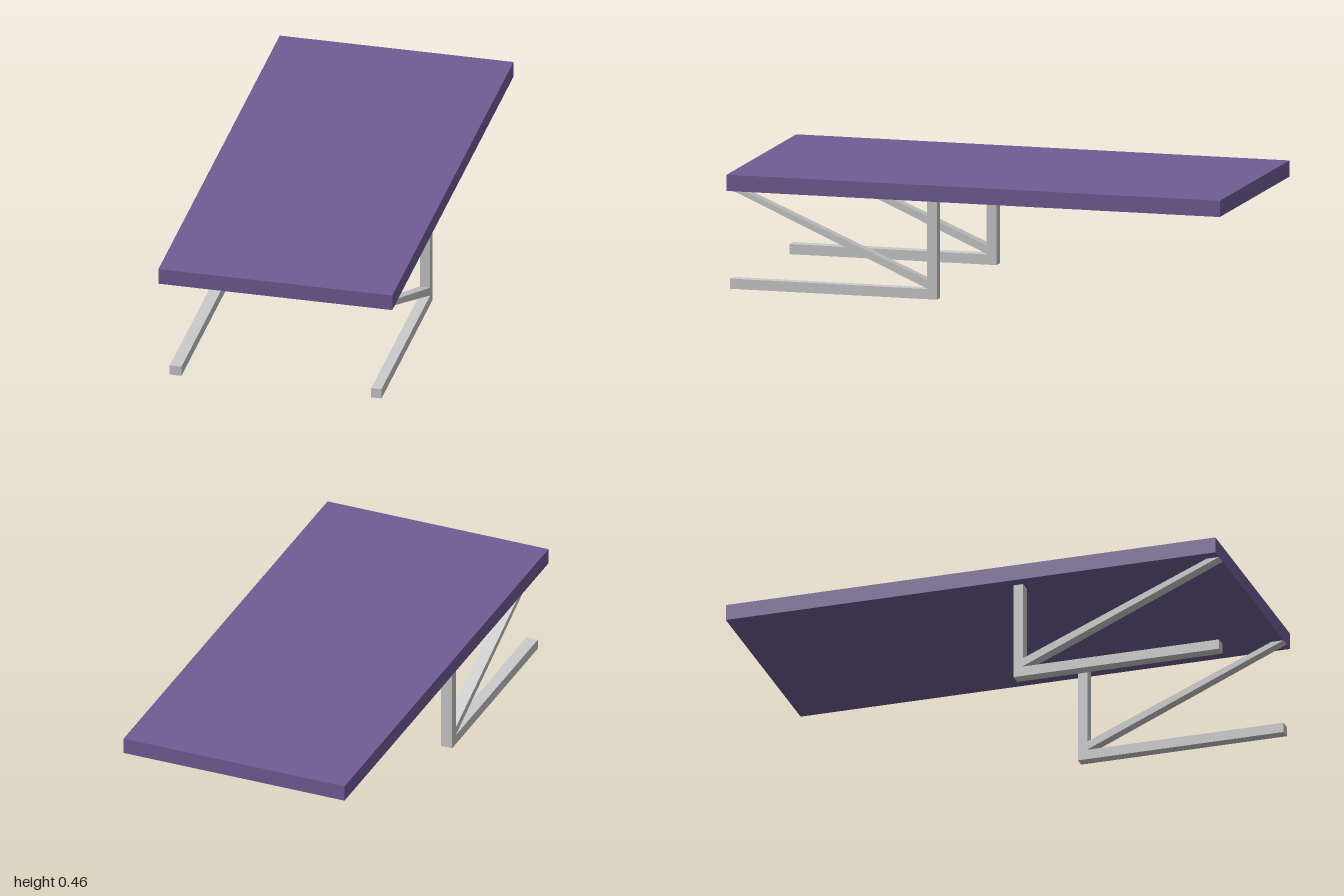
import * as THREE from 'three';

const purple = new THREE.MeshStandardMaterial({ color: 0x705d96 });
const grey = new THREE.MeshStandardMaterial({ color: 0xcccccc });

const TOP_UNDERSIDE = 0.393;

// Box given by its minimum and maximum corners
function box(name, material, [x0, y0, z0], [x1, y1, z1]) {
  const mesh = new THREE.Mesh(new THREE.BoxGeometry(x1 - x0, y1 - y0, z1 - z0), material);
  mesh.position.set((x0 + x1) / 2, (y0 + y1) / 2, (z0 + z1) / 2);
  mesh.name = name;
  return mesh;
}

// Post, floor runner and diagonal brace between x0 and x1
function legFrame(name, x0, x1) {
  const frame = new THREE.Group();
  frame.name = name;
  frame.add(box('post', grey, [x0, 0, 0.16], [x1, TOP_UNDERSIDE, 0.2]));
  frame.add(box('floorRunner', grey, [x0, 0, 0.2], [x1, 0.04, 1]));

  // Brace side outline as (z, y), mitred flush to the tabletop and post
  const outline = [[0.2, 0.042], [1, TOP_UNDERSIDE], [0.95, TOP_UNDERSIDE], [0.2, 0.076]];
  const shape = new THREE.Shape(outline.map(([z, y]) => new THREE.Vector2(-z, y)));
  const geometry = new THREE.ExtrudeGeometry(shape, { depth: x1 - x0, bevelEnabled: false });
  geometry.rotateY(Math.PI / 2);
  const brace = new THREE.Mesh(geometry, grey);
  brace.position.x = x0;
  brace.name = 'diagonalBrace';
  frame.add(brace);
  return frame;
}

export function createModel() {
  const table = new THREE.Group();
  table.name = 'cantileverTable';
  table.add(box('tabletop', purple, [-0.467, TOP_UNDERSIDE, -1], [0.467, 0.457, 1]));
  table.add(legFrame('rightLegFrame', -0.422, -0.375));
  table.add(legFrame('leftLegFrame', 0.383, 0.424));
  return table;
}
